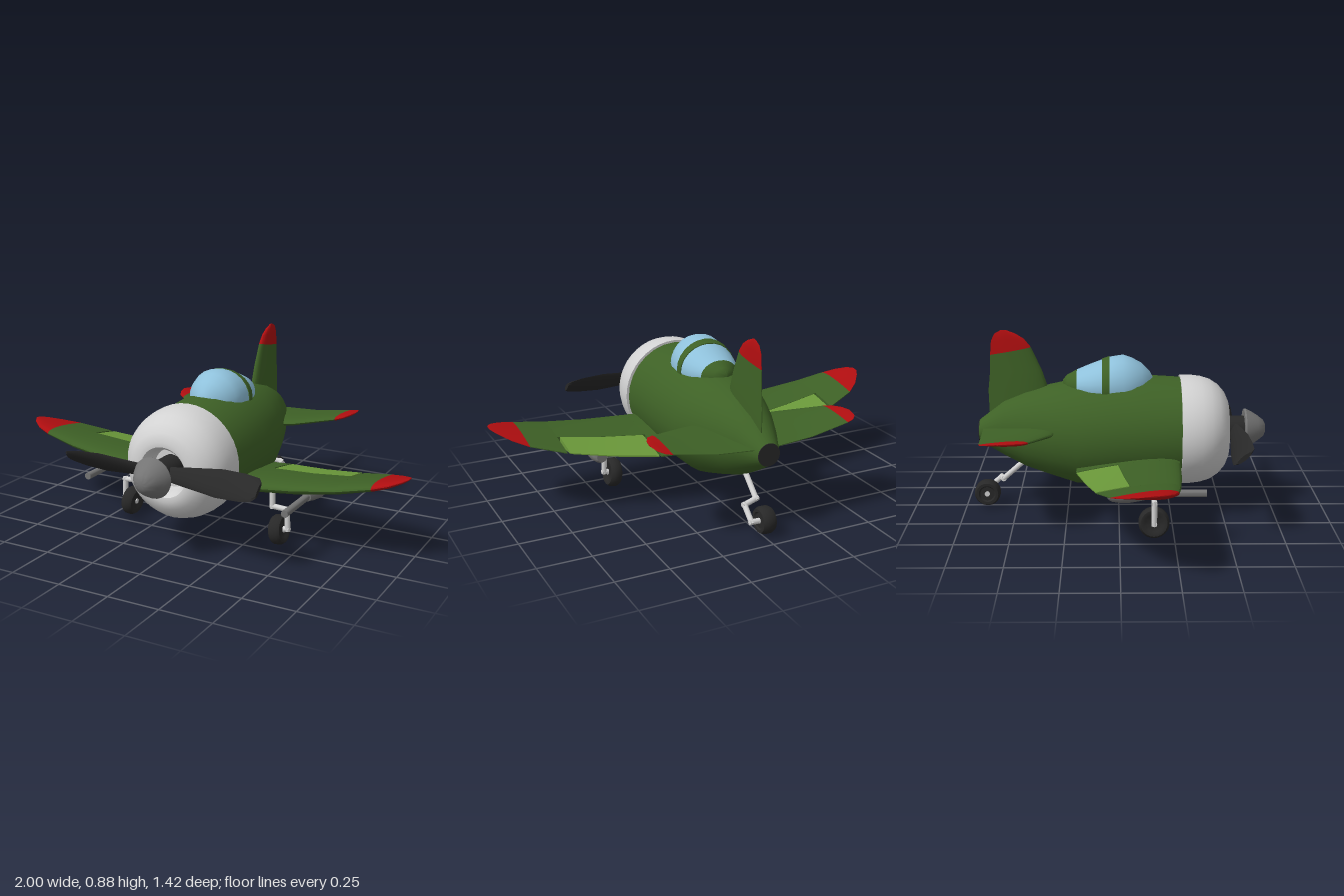
import * as THREE from 'three';
import { toCreasedNormals } from 'three/addons/utils/BufferGeometryUtils.js';

const V = (x, y, z) => new THREE.Vector3(x, y, z);
const mat = (name, color) => {
  const m = new THREE.MeshStandardMaterial({ color });
  m.name = name;
  return m;
};

// Closed skin through equal-length rings of points, always facing outward
function loft(rings, crease = 0.6) {
  const n = rings[0].length, pts = rings.flat(), idx = [];
  rings.slice(1).forEach((_, r) => {
    for (let i = 0; i < n; i++) {
      const a = r * n + i, b = r * n + (i + 1) % n;
      idx.push(a, b, b + n, a, b + n, a + n);
    }
  });
  [0, rings.length - 1].forEach((r) => {
    const c = pts.length;
    pts.push(rings[r].reduce((s, p) => s.add(p), V(0, 0, 0)).divideScalar(n));
    for (let i = 0; i < n; i++) {
      const a = r * n + i, b = r * n + (i + 1) % n;
      idx.push(...(r === 0 ? [c, b, a] : [c, a, b]));
    }
  });
  let volume = 0;
  const centre = rings[0][0], q = (i) => pts[i].clone().sub(centre);
  for (let i = 0; i < idx.length; i += 3) volume += q(idx[i]).dot(q(idx[i + 1]).cross(q(idx[i + 2])));
  if (volume < 0) idx.reverse();
  const g = new THREE.BufferGeometry().setFromPoints(pts);
  g.setIndex(idx);
  return toCreasedNormals(g, crease);
}

// Airfoil skin: sections are [leading point, trailing point, thickness], kept between chord fractions u0 and u1
function airfoil(sections, thickDir, u0 = 0, u1 = 1) {
  const half = (u) => 5 * (0.2969 * Math.sqrt(u) - 0.126 * u - 0.3516 * u * u + 0.2843 * u ** 3 - 0.095 * u ** 4);
  const N = 9;
  return loft(sections.map(([le, te, t]) => {
    const ring = [];
    for (const s of [1, -1]) {
      for (let i = 0; i <= N; i++) {
        const k = s > 0 ? 1 - i / N : i / N;
        const u = u0 + (u1 - u0) * k * k;
        ring.push(le.clone().lerp(te, u).addScaledVector(thickDir, s * t * half(u)));
      }
    }
    return ring;
  }));
}

// Elliptical ring across z
const oval = (z, cy, rx, ry, n = 28) => Array.from({ length: n }, (_, i) => {
  const a = (i / n) * Math.PI * 2;
  return V(Math.cos(a) * rx, cy + Math.sin(a) * ry, z);
});

// Turned shape about the z axis from [radius, z] points
const turned = (profile, seg = 32) => toCreasedNormals(
  new THREE.LatheGeometry(profile.map(([r, z]) => new THREE.Vector2(r, z)), seg).rotateX(Math.PI / 2), 0.7);

export function createModel() {
  const root = new THREE.Group();
  root.name = 'airplane';
  const green = mat('dark green', 0x3e6126), lime = mat('light green', 0x6b993a), red = mat('red', 0xb00e10);
  const white = mat('pale grey', 0xd2d2d2), black = mat('black', 0x282828), grey = mat('mid grey', 0x747474);
  const glass = mat('glass blue', 0x8fc1db);
  const body = new THREE.Group();
  body.name = 'body';
  body.position.x = -0.012;
  root.add(body);
  const add = (parent, name, geo, material, x = 0, y = 0, z = 0) => {
    const m = new THREE.Mesh(geo, material);
    m.name = name;
    m.position.set(x, y, z);
    parent.add(m);
    return m;
  };
  const UP = V(0, 1, 0);

  // Fuselage: [z, bottom, top, half width]
  const hull = [[0.31, 0.14, 0.648, 0.25], [0.15, 0.134, 0.658, 0.256], [0, 0.133, 0.66, 0.256], [-0.2, 0.133, 0.643, 0.236],
    [-0.33, 0.175, 0.617, 0.2], [-0.45, 0.217, 0.583, 0.155], [-0.55, 0.269, 0.538, 0.11], [-0.67, 0.34, 0.445, 0.054]];
  add(body, 'fuselage', loft(hull.map(([z, b, t, w]) => oval(z, (b + t) / 2, w, (t - b) / 2))), green);
  add(body, 'tailCap', loft([oval(-0.668, 0.3925, 0.054, 0.053), oval(-0.673, 0.3925, 0.054, 0.053)]), black);

  // Engine cowling, hub and spinner
  add(body, 'cowling', turned([[0.24, 0.293], [0.263, 0.293], [0.263, 0.34], [0.257, 0.39], [0.243, 0.435], [0.217, 0.475],
    [0.18, 0.507], [0.14, 0.524], [0.118, 0.522], [0.104, 0.505], [0.098, 0.47], [0.09, 0.44], [0, 0.44]], 40), white, 0, 0.397, 0);
  add(body, 'hub', turned([[0.06, 0.42], [0.06, 0.612]], 20), black, 0, 0.4, 0);
  add(body, 'spinner', turned([[0, 0.604], [0.092, 0.604], [0.095, 0.612], [0.081, 0.64], [0.062, 0.67], [0.04, 0.698],
    [0.022, 0.707], [0, 0.71]], 24), grey, 0, 0.4, 0);

  // Propeller blades: [x, chord, pitch]
  const blade = loft([[0.03, 0.06, 0.5], [0.12, 0.085, 0.5], [0.3, 0.13, 0.6], [0.41, 0.13, 0.72], [0.47, 0.118, 0.85], [0.487, 0.08, 0.85]]
    .map(([x, c, p]) => Array.from({ length: 10 }, (_, i) => {
      const a = (i / 10) * Math.PI * 2, u = Math.cos(a) * c / 2, v = Math.sin(a) * 0.011;
      return V(x, u * Math.cos(p) + v * Math.sin(p), -u * Math.sin(p) + v * Math.cos(p));
    })));
  for (const turn of [0, Math.PI]) add(body, 'propellerBlade', blade, black, 0, 0.407, 0.55).rotation.z = turn;

  // Canopy: [z, half width, top]
  const bubble = [[0.166, 0.01, 0.645], [0.15, 0.05, 0.68], [0.11, 0.097, 0.722], [0.06, 0.127, 0.749], [0.02, 0.138, 0.762],
    [-0.03, 0.14, 0.754], [-0.045, 0.14, 0.75], [-0.08, 0.138, 0.738], [-0.14, 0.124, 0.715], [-0.2, 0.095, 0.69],
    [-0.245, 0.055, 0.667], [-0.267, 0.012, 0.645]];
  const dome = (from, to, grow = 0) => loft(bubble.slice(from, to)
    .map(([z, w, t]) => oval(z, 0.62, w + grow, t - 0.62 + grow, 24)), 0.8);
  add(body, 'canopyGlass', dome(0, 10), glass);
  add(body, 'canopyFrame', dome(6, 8, 0.004), green);
  add(body, 'canopyTail', dome(9, 12), green);

  // Fin and its painted tip
  const finSections = [[0.52, -0.335, 0.42, -0.622, 0.05], [0.62, -0.345, 0.59, -0.625, 0.05], [0.69, -0.368, 0.68, -0.615, 0.044],
    [0.8, -0.418, 0.762, -0.612, 0.034], [0.84, -0.45, 0.83, -0.606, 0.026], [0.865, -0.49, 0.864, -0.59, 0.018], [0.882, -0.535, 0.881, -0.56, 0.006]]
    .map(([yl, zl, yt, zt, t]) => [V(0, yl, zl), V(0, yt, zt), t]);
  add(root, 'fin', airfoil(finSections.slice(0, 4), V(1, 0, 0)), green);
  add(root, 'finTip', airfoil(finSections.slice(3), V(1, 0, 0)), red);

  // Round bar through a list of points
  const bar = (parent, name, points, r) => points.slice(1).forEach((b, i) => {
    const d = b.clone().sub(points[i]);
    const m = add(parent, name, new THREE.CylinderGeometry(r, r, d.length() + r * 1.6, 12), white);
    m.position.copy(points[i]).addScaledVector(d, 0.5);
    m.quaternion.setFromUnitVectors(UP, d.normalize());
  });
  // Tyre with pale axle caps
  const wheel = (name, x, y, z, r, w, tilt) => {
    const g = new THREE.Group();
    g.name = name;
    g.position.set(x, y, z);
    g.rotation.set(0, Math.PI / 2, tilt, 'ZYX');
    const h = w / 2;
    add(g, 'tyre', turned([[0, -h * 0.8], [r * 0.55, -h * 0.8], [r * 0.65, -h], [r * 0.86, -h], [r, -h * 0.5], [r, h * 0.5],
      [r * 0.86, h], [r * 0.65, h], [r * 0.55, h * 0.8], [0, h * 0.8]], 24), black);
    add(g, 'axle', new THREE.CylinderGeometry(0.013, 0.013, w * 0.96, 12).rotateX(Math.PI / 2), white);
    body.add(g);
  };

  // Wing sections: [x, leading z, trailing z, y, thickness]
  const wingPlan = [[0.1, 0.29, -0.2, 0.29, 0.072], [0.283, 0.287, -0.2, 0.3, 0.07], [0.5, 0.275, -0.15, 0.318, 0.062], [0.705, 0.26, -0.1, 0.346, 0.052],
    [0.86, 0.242, -0.04, 0.378, 0.04], [0.93, 0.22, 0.015, 0.396, 0.03], [0.98, 0.183, 0.075, 0.411, 0.018], [1, 0.15, 0.11, 0.417, 0.006]];
  const flapPlan = [[0.294, 0.287, -0.197, 0.301, 0.07], [0.5, 0.275, -0.15, 0.318, 0.062], [0.692, 0.261, -0.103, 0.344, 0.053]];
  const tailPlan = [[0.03, -0.27, -0.65, 0.425, 0.045], [0.24, -0.312, -0.64, 0.435, 0.036], [0.435, -0.405, -0.626, 0.462, 0.024],
    [0.468, -0.43, -0.618, 0.468, 0.018], [0.492, -0.48, -0.595, 0.473, 0.012], [0.502, -0.525, -0.55, 0.475, 0.004]];

  for (const s of [1, -1]) {
    const plan = (rows, drop) => rows.map(([x, zl, zt, y, t]) => [V(s * x, y, zl), V(s * x, y - drop * (zl - zt), zt), t]);
    const wing = new THREE.Group();
    wing.name = s > 0 ? 'leftWing' : 'rightWing';
    root.add(wing);
    const w = plan(wingPlan, 0.07);
    add(wing, 'wingRoot', airfoil(w.slice(0, 2), UP), green);
    add(wing, 'wingPanel', airfoil(w.slice(1, 4), UP, 0, 0.6), green);
    add(wing, 'outerWing', airfoil(w.slice(3, 5), UP), green);
    add(wing, 'wingTip', airfoil(w.slice(4), UP), red);
    add(wing, 'aileron', airfoil(plan(flapPlan, 0.07), UP, 0.605, 1), lime);

    // Gun pod under the wing
    add(wing, 'gunPod', turned([[0, -0.053], [0.026, -0.053], [0.036, -0.035], [0.042, 0], [0.042, 0.04], [0.034, 0.09], [0.022, 0.145],
      [0.017, 0.147], [0.017, 0.385], [0, 0.385]], 16), grey, s * 0.521, 0.252, 0);

    // Tailplane
    const t = plan(tailPlan, 0.03);
    add(body, 'tailplane', airfoil(t.slice(0, 3), UP), green);
    add(body, 'tailplaneTip', airfoil(t.slice(2), UP), red);

    // Main landing gear
    const z = 0.157;
    bar(body, 'mainStrut', [V(s * 0.366, 0.3, z), V(s * 0.368, 0.182, z), V(s * 0.443, 0.178, z), V(s * 0.447, 0.082, z), V(s * 0.4, 0.075, z)], 0.013);
    wheel('mainWheel', s * 0.404, 0.073, z, 0.071, 0.056, s * 0.12);
  }

  // Tail wheel on a cranked strut
  bar(body, 'tailStrut', [V(0, 0.25, -0.445), V(0, 0.144, -0.565), V(0.066, 0.132, -0.58), V(0.066, 0.075, -0.645), V(0, 0.073, -0.645)], 0.013);
  wheel('tailWheel', 0, 0.073, -0.645, 0.063, 0.064, 0);
  return root;
}
